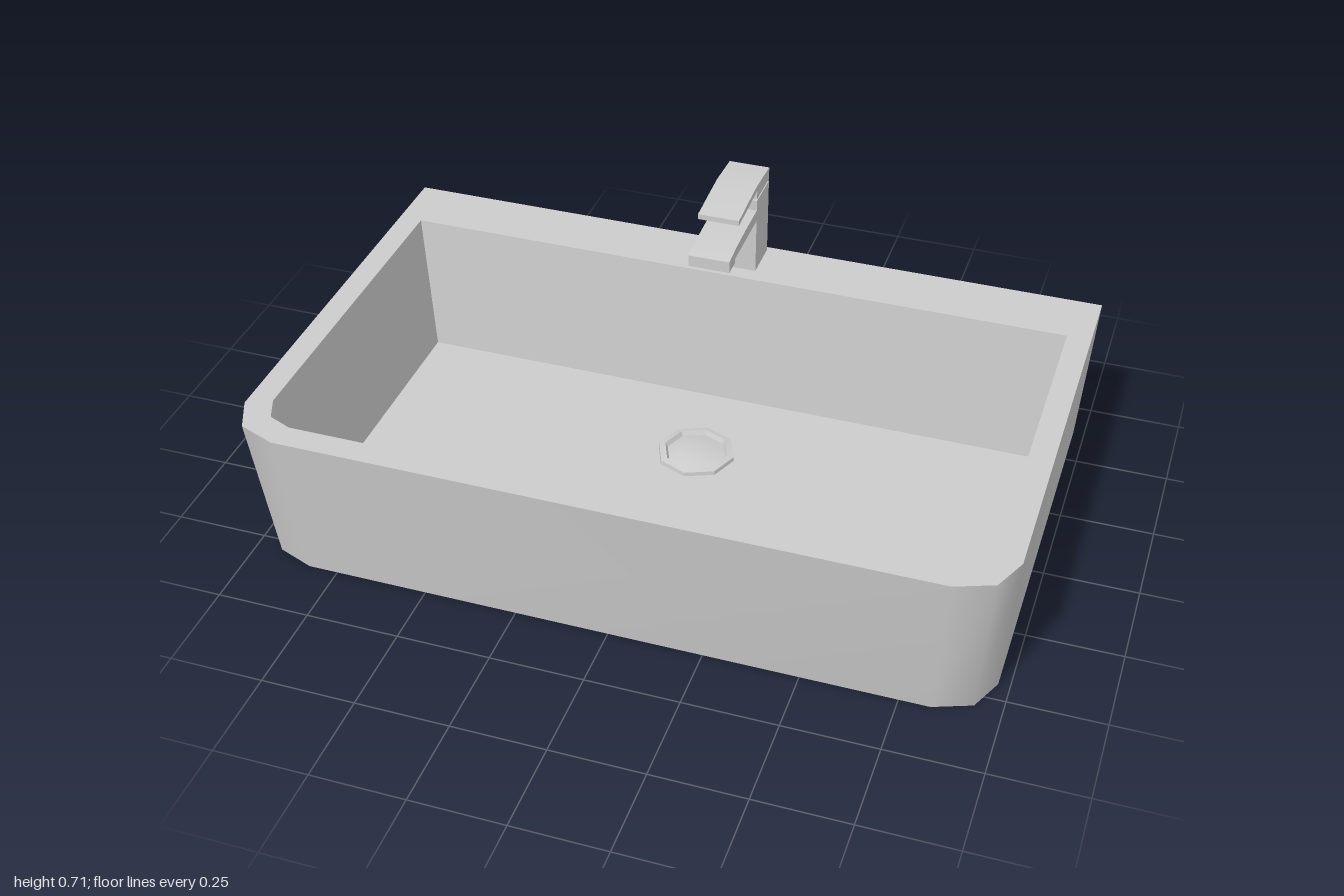
import * as THREE from 'three';
import { toCreasedNormals } from 'three/addons/utils/BufferGeometryUtils.js';

const material = new THREE.MeshStandardMaterial({ color: 0xcccccc });

function addMesh(parent, name, geometry) {
  const mesh = new THREE.Mesh(geometry, material);
  mesh.name = name;
  parent.add(mesh);
  return mesh;
}

// Rectangle with square back corners and rounded front corners, at height y
function outline(y, halfWidth, back, front, rx, rz) {
  const right = [];
  for (let i = 0; i <= 2; i++) {
    const a = Math.PI / 2 - (i * Math.PI) / 4;
    right.push([halfWidth - rx + rx * Math.cos(a), y, front - rz + rz * Math.sin(a)]);
  }
  right.push([halfWidth, y, back]);
  const left = right.map(([x, h, z]) => [-x, h, z]).reverse();
  return [...left, ...right];
}

// Skin between successive outlines, closed at both ends
function loft(rings, crease) {
  const n = rings[0].length;
  const index = [];
  for (let r = 0; r < rings.length - 1; r++) {
    for (let i = 0; i < n; i++) {
      const a = r * n + i, b = r * n + ((i + 1) % n);
      index.push(a, b, b + n, a, b + n, a + n);
    }
  }
  const last = (rings.length - 1) * n;
  for (let i = 1; i < n - 1; i++) {
    index.push(0, i + 1, i, last, last + i, last + i + 1);
  }
  const geometry = new THREE.BufferGeometry();
  geometry.setAttribute('position', new THREE.Float32BufferAttribute(rings.flat(2), 3));
  geometry.setIndex(index);
  return toCreasedNormals(geometry, crease);
}

// Side profile of [z, y] points, extruded across x
function sideExtrude(points, width) {
  const shape = new THREE.Shape(points.map(([z, y]) => new THREE.Vector2(-z, y)));
  const geometry = new THREE.ExtrudeGeometry(shape, { depth: width, bevelEnabled: false });
  geometry.translate(0, 0, -width / 2).rotateY(Math.PI / 2);
  return toCreasedNormals(geometry, 0.4);
}

export function createModel() {
  const model = new THREE.Group();
  model.name = 'washbasin';

  // Basin: outer wall, flat rim with deep back ledge, inner wall and floor
  addMesh(model, 'basin', loft([
    outline(0, 0.97, -0.63, 0.575, 0.14, 0.13),
    outline(0.44, 1, -0.63, 0.63, 0.14, 0.13),
    outline(0.44, 0.935, -0.455, 0.56, 0.09, 0.09),
    outline(0.045, 0.895, -0.42, 0.505, 0.08, 0.08),
  ], 0.9));

  // Octagonal drain with raised ring and shallow dome
  const drainProfile = [[0.11, 0.04], [0.108, 0.056], [0.09, 0.06], [0.083, 0.048], [0.05, 0.056], [0, 0.059]];
  const drain = addMesh(model, 'drain', toCreasedNormals(
    new THREE.LatheGeometry(drainProfile.map(([r, y]) => new THREE.Vector2(r, y)), 8), 0.5));
  drain.position.z = -0.148;

  // Single-lever faucet on the back ledge
  const faucet = new THREE.Group();
  faucet.name = 'faucet';
  model.add(faucet);
  const body = addMesh(faucet, 'faucetBody', new THREE.BoxGeometry(0.114, 0.225, 0.115));
  body.position.set(0, 0.5525, -0.5575);
  const neck = addMesh(faucet, 'faucetNeck', new THREE.BoxGeometry(0.1, 0.012, 0.1));
  neck.position.set(0, 0.668, -0.5575);
  addMesh(faucet, 'spout', sideExtrude([
    [-0.51, 0.602], [-0.3, 0.6], [-0.3, 0.587], [-0.248, 0.587],
    [-0.248, 0.62], [-0.31, 0.629], [-0.4, 0.634], [-0.51, 0.635],
  ], 0.114));
  addMesh(faucet, 'lever', sideExtrude([
    [-0.615, 0.671], [-0.5, 0.671], [-0.5, 0.697], [-0.33, 0.685],
    [-0.33, 0.7], [-0.42, 0.708], [-0.5, 0.714], [-0.615, 0.707],
  ], 0.114));

  return model;
}
